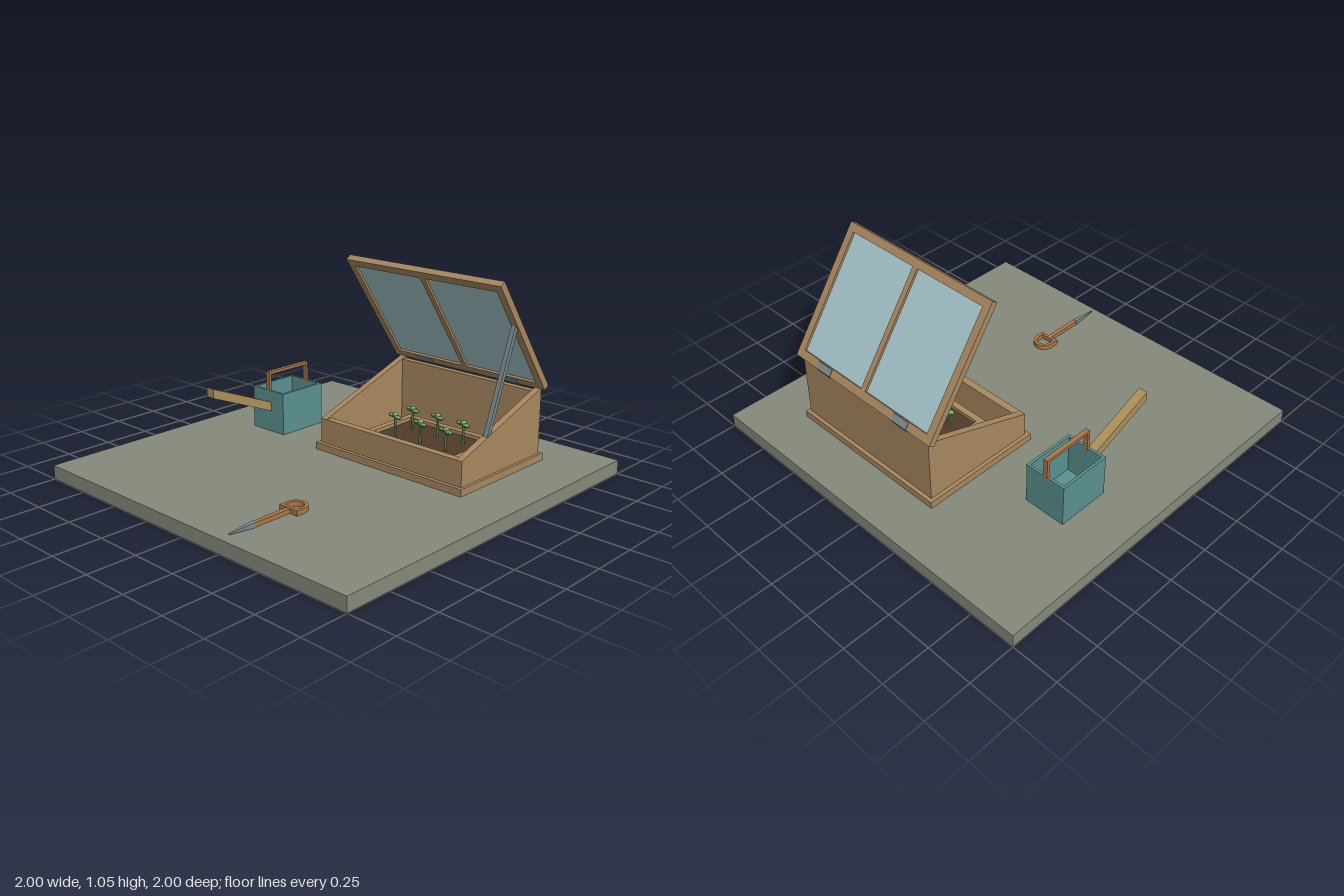
import * as THREE from 'three';

const mat = (color) => new THREE.MeshStandardMaterial({ color, flatShading: true });
const WOOD = mat(0xa88860), PALE = mat(0xab9058), SOIL = mat(0x4f3b28), STONE = mat(0x858a7b);
const TEAL = mat(0x5b928f), METAL = mat(0x7b898d), GLASS = mat(0xa6c6ca), LEAF = mat(0x6f9e68);
const HANDLE = mat(0xa9764a);

function add(parent, name, geometry, material, x = 0, y = 0, z = 0) {
  const mesh = new THREE.Mesh(geometry, material);
  mesh.name = name;
  mesh.position.set(x, y, z);
  parent.add(mesh);
  return mesh;
}

// Box given by its extents
function box(parent, name, material, x0, x1, y0, y1, z0, z1) {
  return add(parent, name, new THREE.BoxGeometry(x1 - x0, y1 - y0, z1 - z0), material,
    (x0 + x1) / 2, (y0 + y1) / 2, (z0 + z1) / 2);
}

// Side profile of [z, y] points, extruded from x0 to x1
function profile(parent, name, material, points, x0, x1) {
  const shape = new THREE.Shape(points.map(([z, y]) => new THREE.Vector2(z, y)));
  const geometry = new THREE.ExtrudeGeometry(shape, { depth: x1 - x0, bevelEnabled: false });
  geometry.rotateY(-Math.PI / 2);
  return add(parent, name, geometry, material, x1);
}

// Four upright walls around a rectangle
function walls(parent, name, material, x0, x1, y0, y1, z0, z1, t) {
  box(parent, name, material, x0, x0 + t, y0, y1, z0, z1);
  box(parent, name, material, x1 - t, x1, y0, y1, z0, z1);
  box(parent, name, material, x0 + t, x1 - t, y0, y1, z0, z0 + t);
  box(parent, name, material, x0 + t, x1 - t, y0, y1, z1 - t, z1);
}

function group(parent, name) {
  const g = new THREE.Group();
  g.name = name;
  parent.add(g);
  return g;
}

// Straight bar between two points
function bar(parent, name, material, a, b, width) {
  const from = new THREE.Vector3(...a), to = new THREE.Vector3(...b);
  const mesh = add(parent, name, new THREE.BoxGeometry(width, from.distanceTo(to), width), material);
  mesh.position.copy(from).lerp(to, 0.5);
  mesh.quaternion.setFromUnitVectors(new THREE.Vector3(0, 1, 0), to.sub(from).normalize());
  return mesh;
}

function buildFrame(root) {
  const g = group(root, 'coldFrame');
  walls(g, 'skirt', WOOD, -0.22, 0.72, 0.07, 0.11, -0.74, -0.07, 0.05);
  const slope = [[-0.72, 0.07], [-0.09, 0.07], [-0.09, 0.24], [-0.72, 0.455]];
  profile(g, 'sideWall', WOOD, slope, -0.2, -0.165);
  profile(g, 'sideWall', WOOD, slope, 0.67, 0.705);
  box(g, 'frontWall', WOOD, -0.165, 0.67, 0.07, 0.24, -0.13, -0.09);
  box(g, 'backWall', WOOD, -0.165, 0.67, 0.07, 0.44, -0.72, -0.685);
}

function buildTray(root) {
  const g = group(root, 'seedTray');
  walls(g, 'trayWall', WOOD, -0.045, 0.55, 0.07, 0.17, -0.61, -0.205, 0.035);
  box(g, 'soil', SOIL, -0.01, 0.515, 0.07, 0.15, -0.575, -0.24);
  for (const z of [-0.34, -0.48]) {
    for (const x of [0.085, 0.25, 0.415]) {
      const p = group(g, 'seedling');
      p.position.set(x, 0.15, z);
      add(p, 'stem', new THREE.CylinderGeometry(0.006, 0.007, 0.1, 6), LEAF, 0, 0.05, 0);
      add(p, 'crown', new THREE.SphereGeometry(0.018, 8, 6), LEAF, 0, 0.11, 0).scale.y = 0.9;
      for (const side of [-1, 1]) {
        const leaf = add(p, 'leaf', new THREE.SphereGeometry(0.026, 8, 6), LEAF,
          side * 0.024, 0.105, side * 0.01);
        leaf.scale.set(1, 0.42, 0.65);
        leaf.rotation.set(0, -side * 0.3, side * 0.1);
      }
    }
  }
}

function buildLid(root) {
  // Lid is made upright, then tilted about its middle
  const g = group(root, 'lid');
  const h = 0.356, t = 0.0175;
  g.position.set(0.25, 0.751, -0.524);
  g.rotation.x = 0.609;
  for (const s of [-1, 1]) {
    box(g, 'lidSideRail', WOOD, s * 0.46 - 0.02, s * 0.46 + 0.02, -h, h, -t, t);
    box(g, 'lidEndRail', WOOD, -0.44, 0.44, s * (h - 0.021) - 0.021, s * (h - 0.021) + 0.021, -t, t);
    box(g, 'glassPane', GLASS, s * 0.2275 - 0.2125, s * 0.2275 + 0.2125, -h + 0.042, h - 0.042, -0.005, 0.005);
    box(g, 'hingePlate', METAL, s * 0.273 - 0.05, s * 0.273 + 0.05, -h + 0.004, -h + 0.038, -t - 0.004, t + 0.004);
  }
  box(g, 'glazingBar', WOOD, -0.015, 0.015, -h + 0.042, h - 0.042, -t, t);
  for (const x of [-0.023, 0.523]) {
    const barrel = add(root, 'hingeBarrel', new THREE.CylinderGeometry(0.018, 0.018, 0.1, 12), METAL, x, 0.466, -0.722);
    barrel.rotation.z = Math.PI / 2;
  }
  bar(root, 'propStay', METAL, [0.69, 0.3, -0.295], [0.708, 0.825, -0.465], 0.024);
}

function buildCan(root) {
  const g = group(root, 'wateringCan');
  walls(g, 'canWall', TEAL, -0.725, -0.495, 0.07, 0.3, -0.39, -0.1, 0.014);
  box(g, 'canBottom', TEAL, -0.711, -0.509, 0.07, 0.09, -0.376, -0.114);
  // Carrying handle
  for (const z of [-0.39, -0.115]) box(g, 'handlePost', HANDLE, -0.623, -0.599, 0.28, 0.4, z, z + 0.015);
  box(g, 'handleGrip', HANDLE, -0.623, -0.599, 0.387, 0.402, -0.39, -0.1);
  // Slanted spout
  profile(g, 'spout', PALE, [[-0.105, 0.185], [0.3, 0.35], [0.3, 0.4], [-0.105, 0.235]], -0.637, -0.588);
}

function buildSpade(root) {
  const g = group(root, 'handSpade');
  g.position.set(0.27, 0.073, 0);
  // D-shaped grip lying flat
  const grip = new THREE.Shape();
  grip.moveTo(-0.056, -0.605);
  grip.lineTo(0.056, -0.605);
  grip.lineTo(0.056, -0.556);
  grip.absarc(0, -0.556, 0.056, 0, Math.PI, false);
  grip.closePath();
  const hole = new THREE.Path();
  hole.moveTo(-0.038, -0.588);
  hole.lineTo(-0.038, -0.556);
  hole.absarc(0, -0.556, 0.038, Math.PI, 0, true);
  hole.lineTo(0.038, -0.588);
  hole.closePath();
  grip.holes.push(hole);
  const geometry = new THREE.ExtrudeGeometry(grip, { depth: 0.026, bevelEnabled: false, curveSegments: 10 });
  geometry.rotateX(-Math.PI / 2);
  add(g, 'grip', geometry, HANDLE);
  box(g, 'shaft', HANDLE, -0.012, 0.012, 0.002, 0.024, 0.6, 0.82);
  // Tapered metal point
  const blade = new THREE.CylinderGeometry(0.004, 0.018, 0.145, 4);
  blade.rotateY(Math.PI / 4);
  blade.rotateX(Math.PI / 2);
  add(g, 'blade', blade, METAL, 0, 0.013, 0.885);
}

export function createModel() {
  const root = new THREE.Group();
  root.name = 'coldFrameScene';
  box(root, 'groundSlab', STONE, -1, 1, 0, 0.073, -1, 1);
  buildFrame(root);
  buildTray(root);
  buildLid(root);
  buildCan(root);
  buildSpade(root);
  return root;
}
